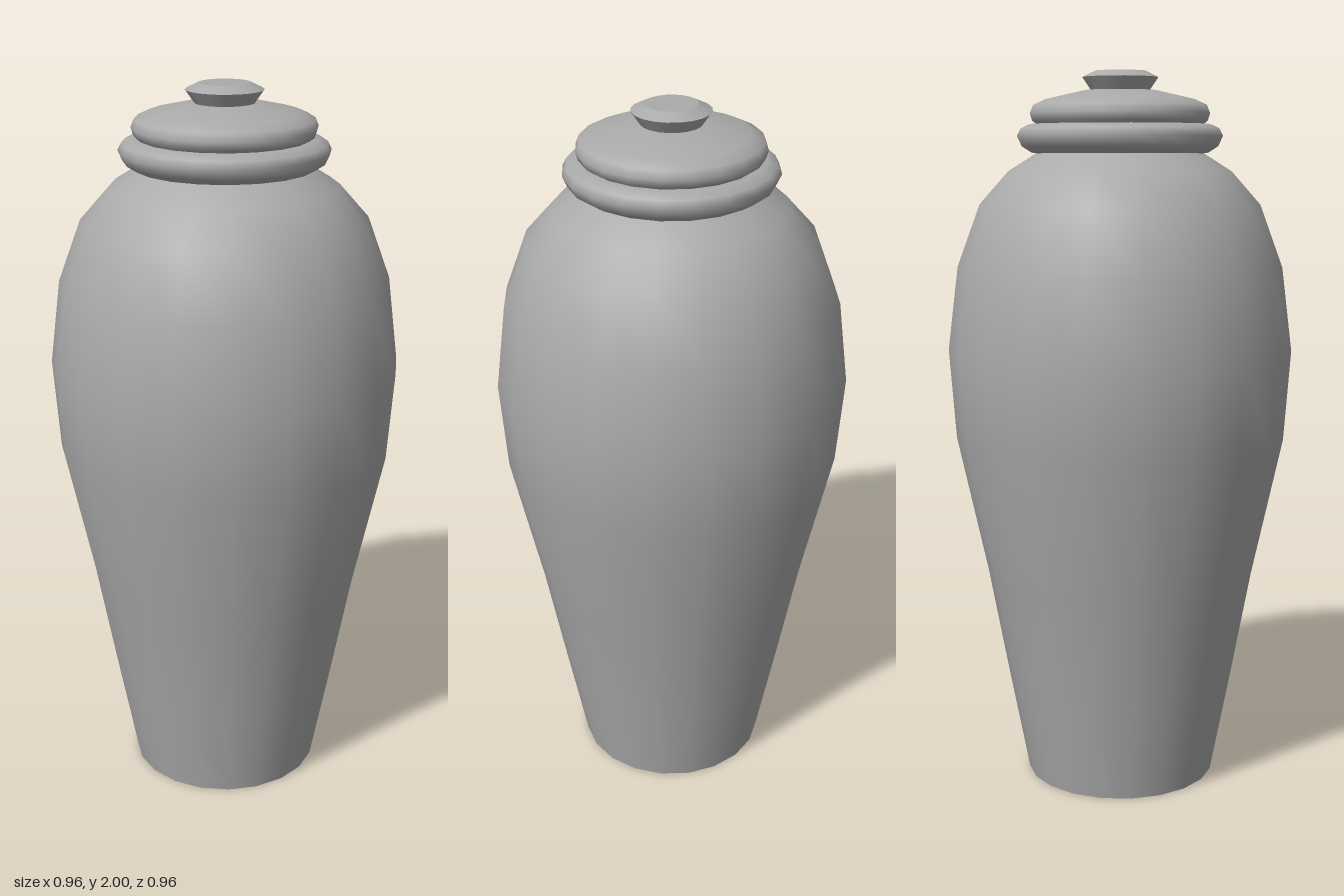
import * as THREE from 'three';

const SIDES = 20;

export function createModel() {
  const urn = new THREE.Group();
  urn.name = 'urn';
  const grey = new THREE.MeshStandardMaterial({ color: 0xaaaaaa });
  grey.name = 'grey';

  // Turned part from [radius, height] pairs listed bottom to top
  const turned = (name, profile) => {
    const points = profile.map(([r, y]) => new THREE.Vector2(r, y));
    const mesh = new THREE.Mesh(new THREE.LatheGeometry(points, SIDES), grey);
    mesh.name = name;
    urn.add(mesh);
  };

  // Flat foot, kept separate for a sharp lower edge
  turned('base', [[0, 0], [0.268, 0]]);

  // Tapered body with rounded shoulder
  turned('body', [
    [0.268, 0], [0.325, 0.3], [0.38, 0.6], [0.464, 0.99], [0.482, 1.24],
    [0.453, 1.47], [0.39, 1.64], [0.31, 1.73], [0.23, 1.78],
  ]);

  // Rounded rim under the lid
  turned('rimUnderside', [[0, 1.775], [0.21, 1.775]]);
  turned('rim', [
    [0.21, 1.775], [0.245, 1.78], [0.272, 1.797], [0.285, 1.825],
    [0.275, 1.845], [0.25, 1.857], [0.22, 1.857],
  ]);

  // Domed lid with a soft edge
  turned('lid', [
    [0.2, 1.85], [0.228, 1.855], [0.243, 1.866], [0.249, 1.886], [0.24, 1.908],
    [0.205, 1.924], [0.1, 1.948], [0, 1.952],
  ]);

  // Knob: flared side, bevel and flat top
  turned('knobSide', [[0.075, 1.94], [0.105, 1.983]]);
  turned('knobBevel', [[0.105, 1.983], [0.07, 2]]);
  turned('knobTop', [[0.07, 2], [0, 2]]);

  return urn;
}
